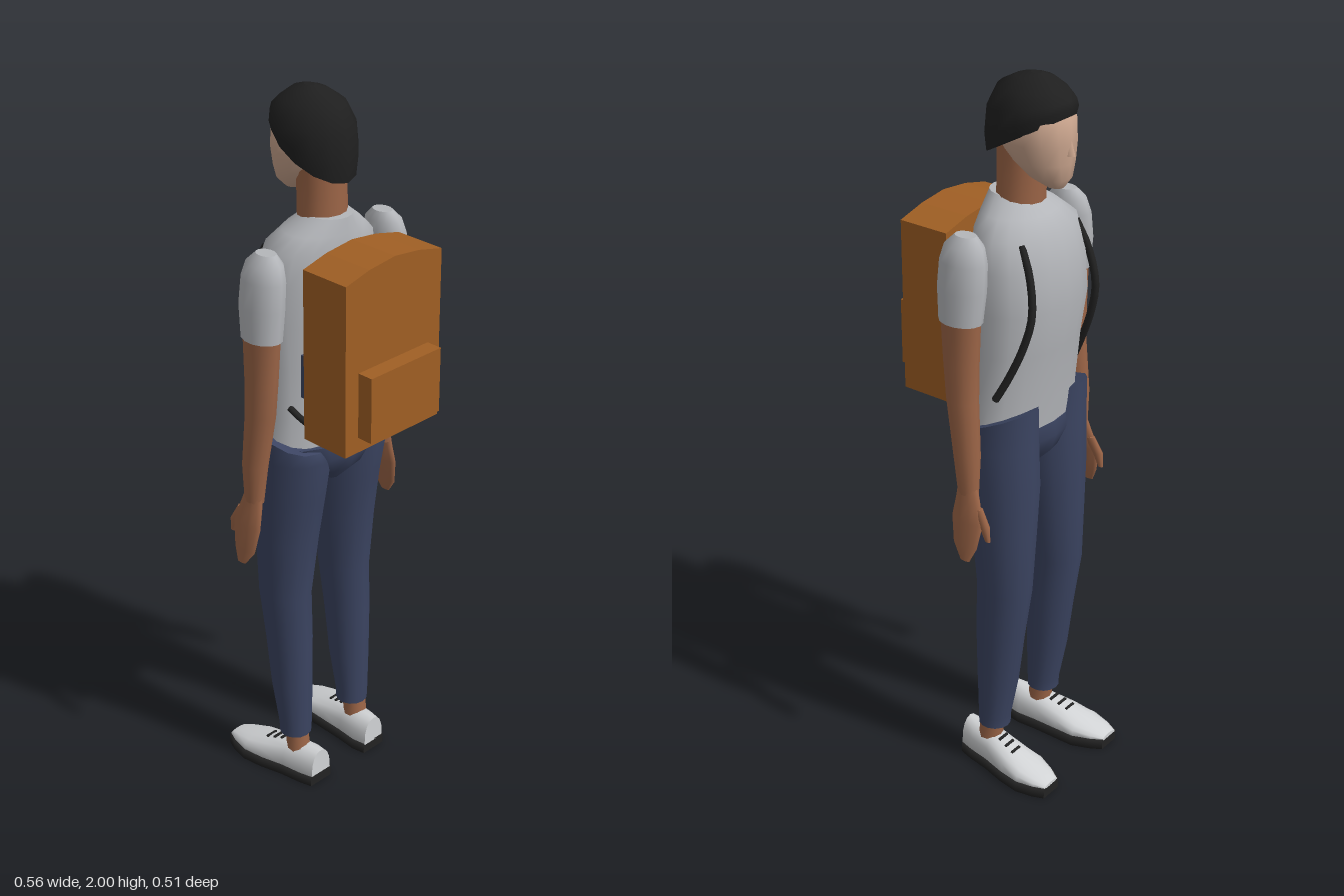
import * as THREE from 'three';

const mat = (name, color, side = THREE.FrontSide) => {
  const m = new THREE.MeshStandardMaterial({ color, side });
  m.name = name;
  return m;
};

// Skin over a list of closed rings, with flat end caps
function loft(rings) {
  const n = rings[0].length, pos = [], idx = [];
  rings.forEach((r) => r.forEach((p) => pos.push(...p)));
  for (let i = 0; i < rings.length - 1; i++) {
    for (let j = 0; j < n; j++) {
      const k = (j + 1) % n, a = i * n + j, b = i * n + k;
      idx.push(a, b, b + n, a, b + n, a + n);
    }
  }
  [rings[0], rings[rings.length - 1]].forEach((r, end) => {
    const base = pos.length / 3;
    r.forEach((p) => pos.push(...p));
    pos.push(...[0, 1, 2].map((c) => r.reduce((s, p) => s + p[c], 0) / n));
    for (let j = 0; j < n; j++) {
      const k = (j + 1) % n;
      idx.push(base + n, base + (end ? j : k), base + (end ? k : j));
    }
  });
  const g = new THREE.BufferGeometry();
  g.setAttribute('position', new THREE.Float32BufferAttribute(pos, 3));
  g.setIndex(idx);
  g.computeVertexNormals();
  return g;
}

// Elliptical rings listed upward as [y, cx, cz, rx, rz, tilt]; tilt raises the chest side
function body(rows, side = 1, n = 14) {
  return loft(rows.map(([y, cx, cz, rx, rz, tilt = 0]) =>
    Array.from({ length: n }, (_, j) => {
      const a = (j / n) * Math.PI * 2;
      return [cx * side + rx * Math.sin(a), y - tilt * Math.cos(a), cz + rz * Math.cos(a)];
    })));
}

export function createModel() {
  const root = new THREE.Group();
  root.name = 'backpacker';
  const hair = mat('hair black', 0x1f1f1f);
  const face = mat('face skin', 0xc8a38c);
  const skin = mat('body skin', 0x9c6547);
  const shirt = mat('shirt grey', 0xb4b6ba);
  const denim = mat('denim blue', 0x3b4461);
  const pack = mat('pack brown', 0xa05f24);
  const white = mat('shoe white', 0xd2d4d6);
  const black = mat('strap black', 0x222222);

  const add = (name, geometry, material) => {
    const m = new THREE.Mesh(geometry, material);
    m.name = name;
    root.add(m);
    return m;
  };

  // Head and neck
  add('neck', body([
    [1.64, 0, -0.035, 0.066, 0.062], [1.74, 0, -0.037, 0.064, 0.064], [1.83, 0, -0.04, 0.064, 0.065],
  ]), skin);
  add('face', body([
    [1.725, 0, -0.14, 0.02, 0.024], [1.75, 0, -0.125, 0.05, 0.056], [1.79, 0, -0.1, 0.072, 0.086],
    [1.84, 0, -0.084, 0.088, 0.104], [1.9, 0, -0.08, 0.09, 0.104], [1.94, 0, -0.08, 0.05, 0.06],
  ]), face);
  const nose = add('nose', new THREE.ConeGeometry(0.014, 0.045, 4), face);
  nose.position.set(0, 1.835, -0.185);
  add('hair', body([
    [1.845, 0, -0.065, 0.094, 0.118, 0.065], [1.88, 0, -0.065, 0.102, 0.122, 0.05],
    [1.925, 0, -0.066, 0.098, 0.116, 0.02], [1.965, 0, -0.07, 0.075, 0.092],
    [1.99, 0, -0.077, 0.042, 0.052], [2.0, 0, -0.08, 0.012, 0.015],
  ]), hair);

  // Shirt body
  add('shirtTorso', body([
    [1.07, 0, -0.042, 0.183, 0.102], [1.16, 0, -0.047, 0.178, 0.106], [1.3, 0, -0.056, 0.176, 0.114],
    [1.42, 0, -0.064, 0.182, 0.125], [1.53, 0, -0.06, 0.18, 0.12], [1.61, 0, -0.05, 0.162, 0.108],
    [1.65, 0, -0.035, 0.115, 0.09], [1.69, 0, -0.014, 0.06, 0.064],
  ], 1, 18), shirt);

  // Seat of the trousers
  add('trouserSeat', body([
    [0.94, 0, -0.035, 0.03, 0.05], [0.99, 0, -0.035, 0.11, 0.1],
    [1.04, 0, -0.035, 0.165, 0.117], [1.08, 0, -0.035, 0.183, 0.113],
  ]), denim);

  for (const s of [1, -1]) {
    const side = s > 0 ? 'left' : 'right';

    // Arm, sleeve and hand
    add(side + 'Sleeve', body([
      [1.415, 0.226, -0.022, 0.046, 0.061], [1.5, 0.222, -0.024, 0.05, 0.068],
      [1.57, 0.215, -0.024, 0.048, 0.066], [1.61, 0.21, -0.024, 0.04, 0.055], [1.635, 0.205, -0.024, 0.022, 0.03],
    ], s), shirt);
    add(side + 'Arm', body([
      [0.94, 0.238, -0.05, 0.022, 0.03], [1.05, 0.236, -0.045, 0.032, 0.038],
      [1.2, 0.23, -0.028, 0.037, 0.045], [1.3, 0.228, -0.024, 0.038, 0.05], [1.43, 0.226, -0.022, 0.042, 0.056],
    ], s), skin);
    add(side + 'Hand', body([
      [0.76, 0.274, -0.065, 0.005, 0.015], [0.8, 0.266, -0.06, 0.011, 0.038],
      [0.87, 0.256, -0.06, 0.016, 0.05], [0.92, 0.246, -0.055, 0.017, 0.04], [0.96, 0.24, -0.05, 0.018, 0.03],
    ], s, 10), skin);
    add(side + 'Thumb', body([
      [0.825, 0.25, -0.122, 0.005, 0.008], [0.865, 0.25, -0.112, 0.011, 0.016], [0.91, 0.246, -0.085, 0.01, 0.018],
    ], s, 8), skin);

    // Trouser leg and ankle
    add(side + 'TrouserLeg', body([
      [0.14, 0.113, -0.035, 0.045, 0.045], [0.17, 0.113, -0.035, 0.046, 0.046], [0.3, 0.113, -0.047, 0.055, 0.06],
      [0.45, 0.113, -0.056, 0.06, 0.071], [0.6, 0.113, -0.07, 0.066, 0.08], [0.78, 0.107, -0.064, 0.083, 0.091],
      [0.92, 0.103, -0.056, 0.092, 0.104], [1.04, 0.104, -0.043, 0.097, 0.112], [1.11, 0.106, -0.048, 0.095, 0.106, 0.042],
    ], s), denim);
    add(side + 'Ankle', body([
      [0.07, 0.115, -0.02, 0.034, 0.034], [0.16, 0.115, -0.03, 0.032, 0.034],
    ], s, 10), skin);

    // Shoe sections from heel to toe: [z, cx, half width, height]
    const sections = [
      [0.06, 0.107, 0.036, 0.08], [0.02, 0.109, 0.045, 0.078], [-0.04, 0.116, 0.048, 0.074],
      [-0.11, 0.126, 0.057, 0.056], [-0.17, 0.131, 0.061, 0.038], [-0.22, 0.136, 0.046, 0.024], [-0.252, 0.139, 0.03, 0.012],
    ];
    add(side + 'ShoeUpper', loft(sections.map(([z, cx, w, h]) =>
      Array.from({ length: 9 }, (_, j) => {
        const a = (j / 8) * Math.PI;
        return [cx * s - w * Math.cos(a), 0.03 + h * Math.pow(Math.sin(a), 0.7), z];
      }))), white);
    add(side + 'ShoeSole', loft(sections.map(([z, cx, w]) =>
      [[-1, 0.003], [-1, 0.034], [1, 0.034], [1, 0.003]].map(([k, y]) => [cx * s + k * (w + 0.003), y, z]))), black);
    for (let i = 0; i < 3; i++) {
      const lace = add(side + 'Lace' + (i + 1), new THREE.BoxGeometry(0.035, 0.005, 0.007), black);
      lace.position.set((0.12 + i * 0.004) * s, 0.1 - i * 0.0085, -0.07 - i * 0.025);
      lace.rotation.x = -0.3;
    }

    // Shoulder strap, then its tail running back to the pack
    const strap = (name, points, r) => add(name, new THREE.TubeGeometry(
      new THREE.CatmullRomCurve3(points.map(([x, y, z]) => new THREE.Vector3(x * s, y, z))), 14, r, 6), black);
    strap(side + 'ShoulderStrap', [
      [0.112, 1.6, -0.122], [0.122, 1.53, -0.155], [0.134, 1.43, -0.172],
      [0.145, 1.34, -0.152], [0.158, 1.25, -0.115], [0.17, 1.19, -0.085],
    ], 0.01);
    strap(side + 'StrapTail', [[0.155, 1.2, 0.0], [0.148, 1.18, 0.03], [0.14, 1.16, 0.075]], 0.009);
  }

  // Pack with an arched top, its pocket and back pad
  const outline = new THREE.Shape([
    [-0.165, 1.138], [0.173, 1.138], [0.173, 1.605], [0.09, 1.625], [0.004, 1.635], [-0.085, 1.625], [-0.165, 1.605],
  ].map(([x, y]) => new THREE.Vector2(x, y)));
  const bag = add('backpack', new THREE.ExtrudeGeometry(outline, { depth: 0.147, bevelEnabled: false }), pack);
  bag.position.z = 0.064;
  const pocket = add('packPocket', new THREE.BoxGeometry(0.25, 0.18, 0.05), pack);
  pocket.position.set(0.005, 1.27, 0.231);
  const pad = add('packBackPad', new THREE.BoxGeometry(0.27, 0.12, 0.045), denim);
  pad.position.set(0, 1.29, 0.045);

  return root;
}
